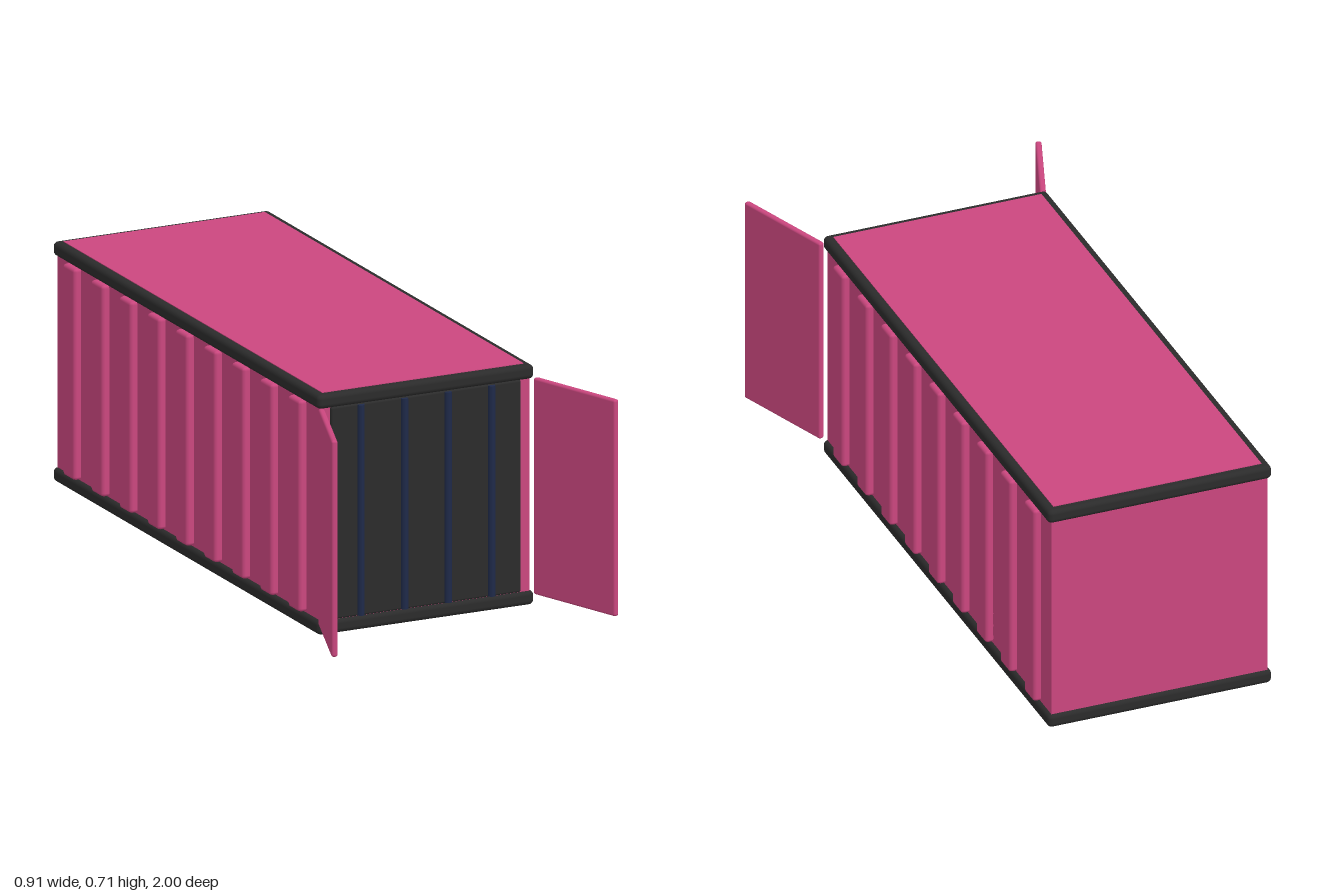
import * as THREE from 'three';
import { RoundedBoxGeometry } from 'three/addons/geometries/RoundedBoxGeometry.js';

const material = (name, color) => {
  const m = new THREE.MeshStandardMaterial({ color });
  m.name = name;
  return m;
};

export function createModel() {
  const pink = material('pink paint', 0xcb477f);
  const dark = material('charcoal frame', 0x2b2b2b);
  const navy = material('navy bars', 0x1f2a4a);

  const model = new THREE.Group();
  model.name = 'shippingContainer';

  const add = (name, geometry, mat, x, y, z, parent = model) => {
    const mesh = new THREE.Mesh(geometry, mat);
    mesh.name = name;
    mesh.position.set(x, y, z);
    parent.add(mesh);
    return mesh;
  };

  const midZ = -0.157;

  // Main body
  add('body', new THREE.BoxGeometry(0.66, 0.66, 1.665), pink, 0, 0.356, midZ);

  // Bevelled frames around the floor and roof, with inset painted panels
  const frame = new RoundedBoxGeometry(0.684, 0.042, 1.684, 2, 0.014);
  const panel = new THREE.BoxGeometry(0.636, 0.004, 1.636);
  add('floorFrame', frame, dark, 0, 0.0225, midZ);
  add('roofFrame', frame, dark, 0, 0.6895, midZ);
  add('floorPanel', panel, pink, 0, 0.002, midZ);
  add('roofPanel', panel, pink, 0, 0.7105, midZ);

  // Corrugation ribs on both long sides
  const rib = new RoundedBoxGeometry(0.04, 0.625, 0.075, 1, 0.01);
  for (const side of [-1, 1]) {
    for (let i = 0; i < 9; i++) {
      add('sideRib', rib, pink, side * 0.333, 0.3575, 0.548 - i * 0.178);
    }
  }

  // Front closing panel with upright bars
  add('frontPanel', new RoundedBoxGeometry(0.6, 0.627, 0.03, 2, 0.006), dark, 0, 0.3575, 0.669);
  const bar = new THREE.CylinderGeometry(0.011, 0.011, 0.622, 8);
  for (let i = 0; i < 4; i++) {
    add('frontBar', bar, navy, -0.207 + i * 0.1375, 0.3575, 0.685);
  }

  // Open doors, splayed outwards from the front corners
  const door = new RoundedBoxGeometry(0.018, 0.64, 0.32, 2, 0.007);
  for (const side of [-1, 1]) {
    const leaf = add(side > 0 ? 'leftDoor' : 'rightDoor', door, pink, side * 0.392, 0.358, 0.846);
    leaf.rotation.y = side * 0.345;
  }

  return model;
}
